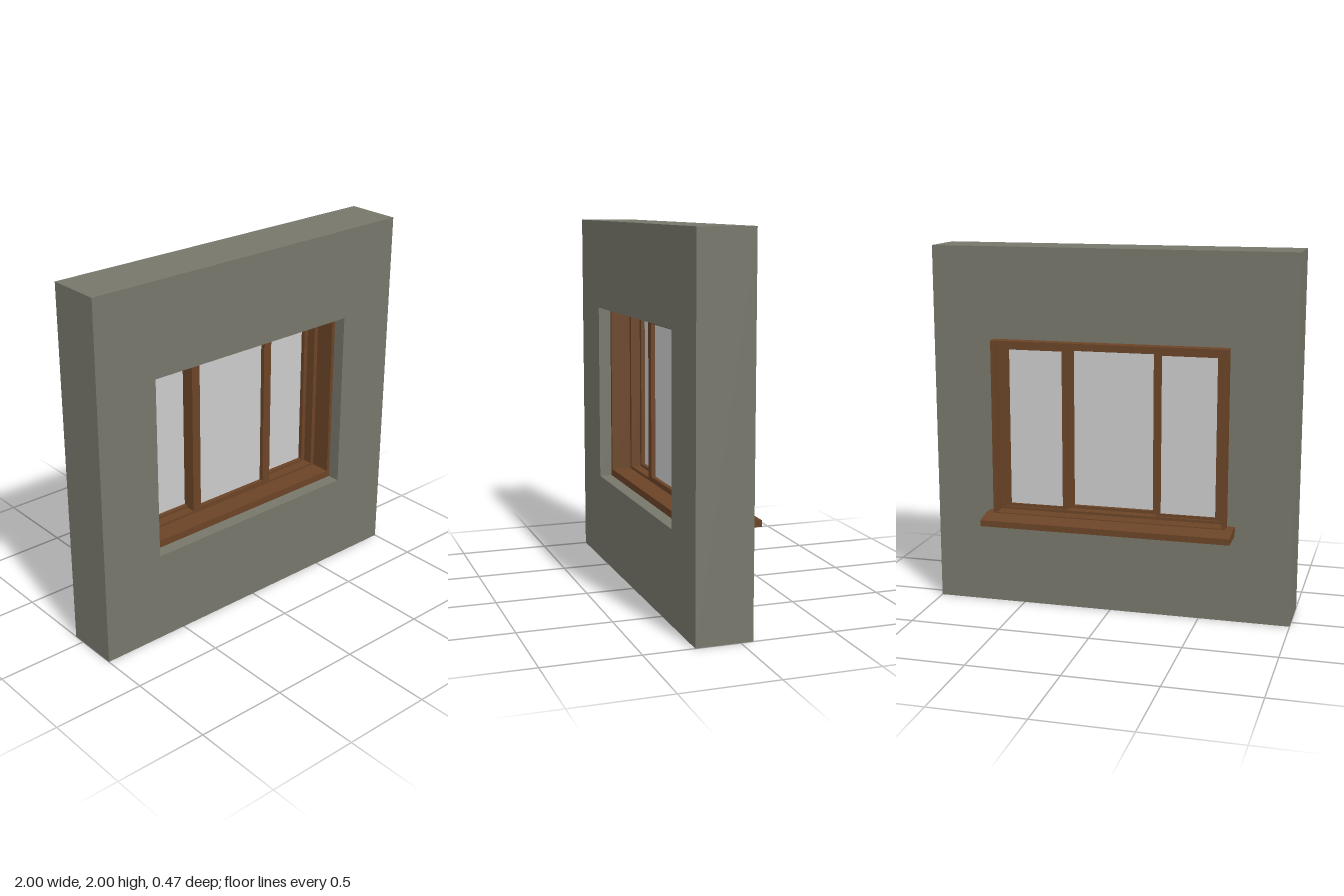
import * as THREE from 'three';

const wallMat = new THREE.MeshStandardMaterial({ color: 0x78776b });
const woodMat = new THREE.MeshStandardMaterial({ color: 0x6b4427 });
const glassMat = new THREE.MeshStandardMaterial({ color: 0xcccccc });

// Box given by its min and max on each axis
function block(name, x0, x1, y0, y1, z0, z1, mat = woodMat) {
  const mesh = new THREE.Mesh(new THREE.BoxGeometry(x1 - x0, y1 - y0, z1 - z0), mat);
  mesh.position.set((x0 + x1) / 2, (y0 + y1) / 2, (z0 + z1) / 2);
  mesh.name = name;
  return mesh;
}

function rectPath(target, x0, x1, y0, y1) {
  target.moveTo(x0, y0);
  target.lineTo(x1, y0);
  target.lineTo(x1, y1);
  target.lineTo(x0, y1);
  target.closePath();
  return target;
}

// Rectangular ring: outer and inner are [x0, x1, y0, y1]
function ring(name, outer, inner, z0, z1, mat = woodMat) {
  const shape = rectPath(new THREE.Shape(), ...outer);
  shape.holes.push(rectPath(new THREE.Path(), ...inner));
  const geo = new THREE.ExtrudeGeometry(shape, { depth: z1 - z0, bevelEnabled: false });
  const mesh = new THREE.Mesh(geo, mat);
  mesh.position.z = z0;
  mesh.name = name;
  return mesh;
}

// Wooden sash with its pane
function sash(name, outer, inner, z0, z1, paneZ) {
  const group = new THREE.Group();
  group.name = name;
  group.add(ring('sashFrame', outer, inner, z0, z1));
  const [x0, x1, y0, y1] = inner;
  group.add(block('pane', x0, x1, y0, y1, paneZ - 0.003, paneZ + 0.003, glassMat));
  return group;
}

export function createModel() {
  const model = new THREE.Group();
  model.name = 'windowInWall';

  // Wall with the opening
  model.add(ring('wall', [-1, 1, 0, 2], [-0.65, 0.65, 0.5, 1.5], -0.065, 0.235, wallMat));

  // Deep casing lining the opening, and the stop inside it
  model.add(ring('casing', [-0.65, 0.65, 0.5, 1.5], [-0.63, 0.63, 0.54, 1.482], -0.135, 0.165));
  model.add(ring('stop', [-0.63, 0.63, 0.54, 1.482], [-0.605, 0.605, 0.555, 1.46], -0.054, 0.054));

  // Middle sash in the front track, side sashes in the rear track
  model.add(sash('middleSash', [-0.277, 0.277, 0.555, 1.46], [-0.226, 0.226, 0.57, 1.44], 0, 0.054, 0.027));
  model.add(sash('leftSash', [0.25, 0.605, 0.555, 1.46], [0.277, 0.58, 0.57, 1.44], -0.04, 0, -0.026));
  model.add(sash('rightSash', [-0.605, -0.25, 0.555, 1.46], [-0.58, -0.277, 0.57, 1.44], -0.04, 0, -0.026));

  // Outer sill with a sloped top; the profile runs outward in x and up in y
  const profile = new THREE.Shape();
  profile.moveTo(0.065, 0.483);
  profile.lineTo(0.235, 0.483);
  profile.lineTo(0.235, 0.517);
  profile.lineTo(0.14, 0.535);
  profile.lineTo(0.065, 0.535);
  profile.closePath();
  const sill = new THREE.Mesh(
    new THREE.ExtrudeGeometry(profile, { depth: 1.384, bevelEnabled: false }), woodMat);
  sill.rotation.y = Math.PI / 2;
  sill.position.x = -0.692;
  sill.name = 'sill';
  model.add(sill);

  return model;
}
